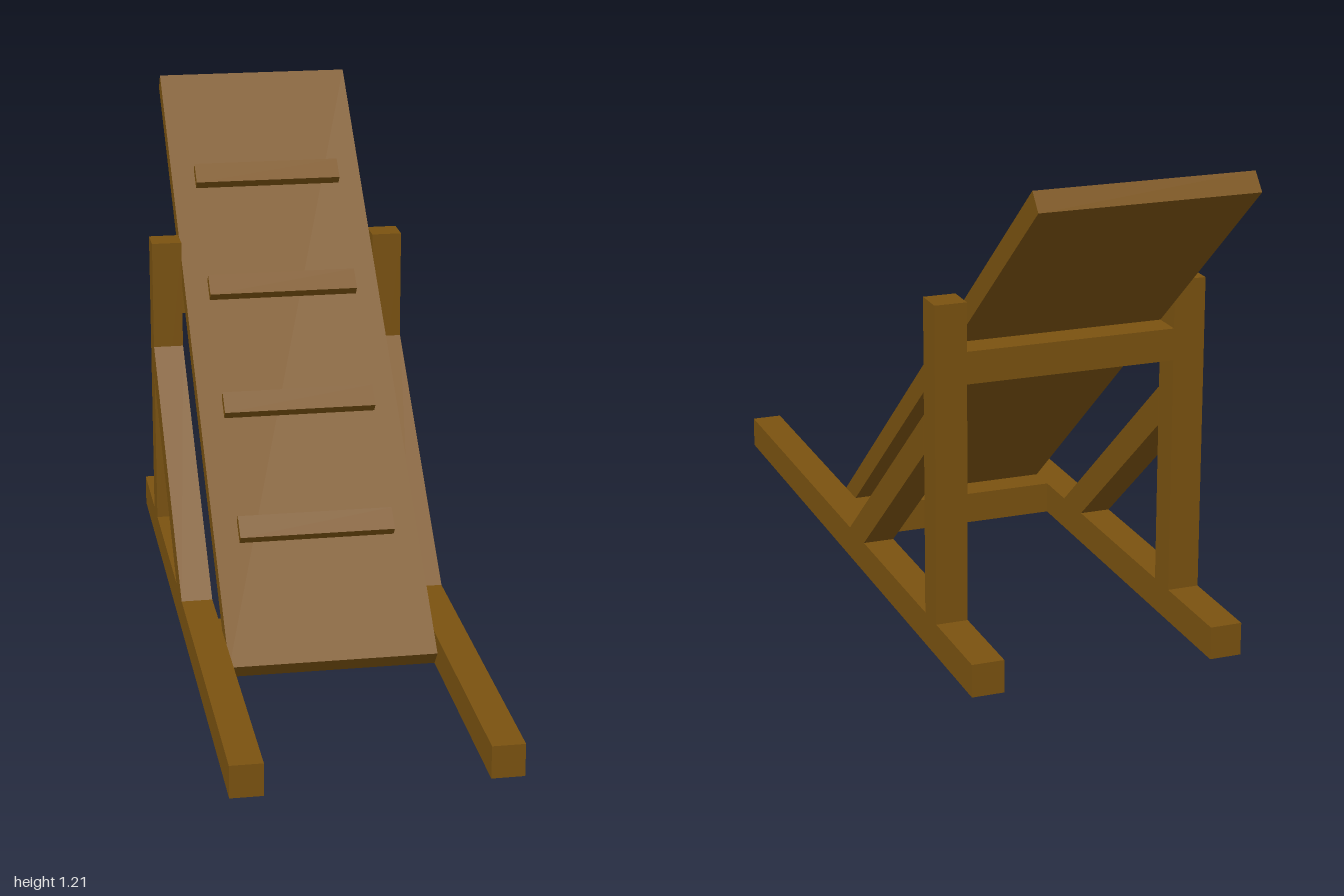
import * as THREE from 'three';

const wood = new THREE.MeshStandardMaterial({ color: 0x7a5210 });

// Box given by its min/max extents on each axis
function beam(name, [x0, x1], [y0, y1], [z0, z1]) {
  const mesh = new THREE.Mesh(new THREE.BoxGeometry(x1 - x0, y1 - y0, z1 - z0), wood);
  mesh.position.set((x0 + x1) / 2, (y0 + y1) / 2, (z0 + z1) / 2);
  mesh.name = name;
  return mesh;
}

// Diagonal brace: (z, y) outline extruded across the frame width
function brace(name, x0, width) {
  const shape = new THREE.Shape([[0.09, 0.08], [-0.025, 0.08], [-0.49, 0.473], [-0.49, 0.57]]
    .map(([z, y]) => new THREE.Vector2(-z, y)));
  const geometry = new THREE.ExtrudeGeometry(shape, { depth: width, bevelEnabled: false });
  geometry.rotateY(Math.PI / 2); // outline x becomes -z, depth becomes +x
  const mesh = new THREE.Mesh(geometry, wood);
  mesh.position.x = x0;
  mesh.name = name;
  return mesh;
}

export function createModel() {
  const model = new THREE.Group();
  model.name = 'inclinedBoardStand';
  const inner = 0.257, outer = 0.335;

  // Side frames: ground rail, upright post and diagonal brace
  for (const side of [1, -1]) {
    const label = side > 0 ? 'left' : 'right';
    const x = side > 0 ? [inner, outer] : [-outer, -inner];
    const frame = new THREE.Group();
    frame.name = label + 'Frame';
    frame.add(
      beam(label + 'Rail', x, [0, 0.08], [-0.81, 1]),
      beam(label + 'Post', x, [0.08, 0.855], [-0.57, -0.493]),
      brace(label + 'Brace', x[0], outer - inner)
    );
    model.add(frame);
  }

  // Crossbars carrying the board
  model.add(
    beam('upperCrossbar', [-inner, inner], [0.66, 0.738], [-0.57, -0.493]),
    beam('lowerCrossbar', [-inner, inner], [0, 0.08], [0.21, 0.29])
  );

  // Sloping board with foot cleats; local +z runs down the slope, y = 0 is its upper face
  const ramp = new THREE.Group();
  ramp.name = 'ramp';
  const length = 1.806, thickness = 0.053;
  ramp.add(beam('board', [-inner, inner], [-thickness, 0], [-length / 2, length / 2]));
  for (let i = 0; i < 4; i++) {
    const z = (1.5 - i) * 0.361 - 0.006;
    ramp.add(beam('cleat' + (i + 1), [-0.195, 0.195], [0, 0.026], [z - 0.031, z + 0.031]));
  }
  ramp.position.set(0, 0.623, -0.275);
  ramp.rotation.x = Math.atan2(1.165, 1.38);
  model.add(ramp);

  return model;
}
